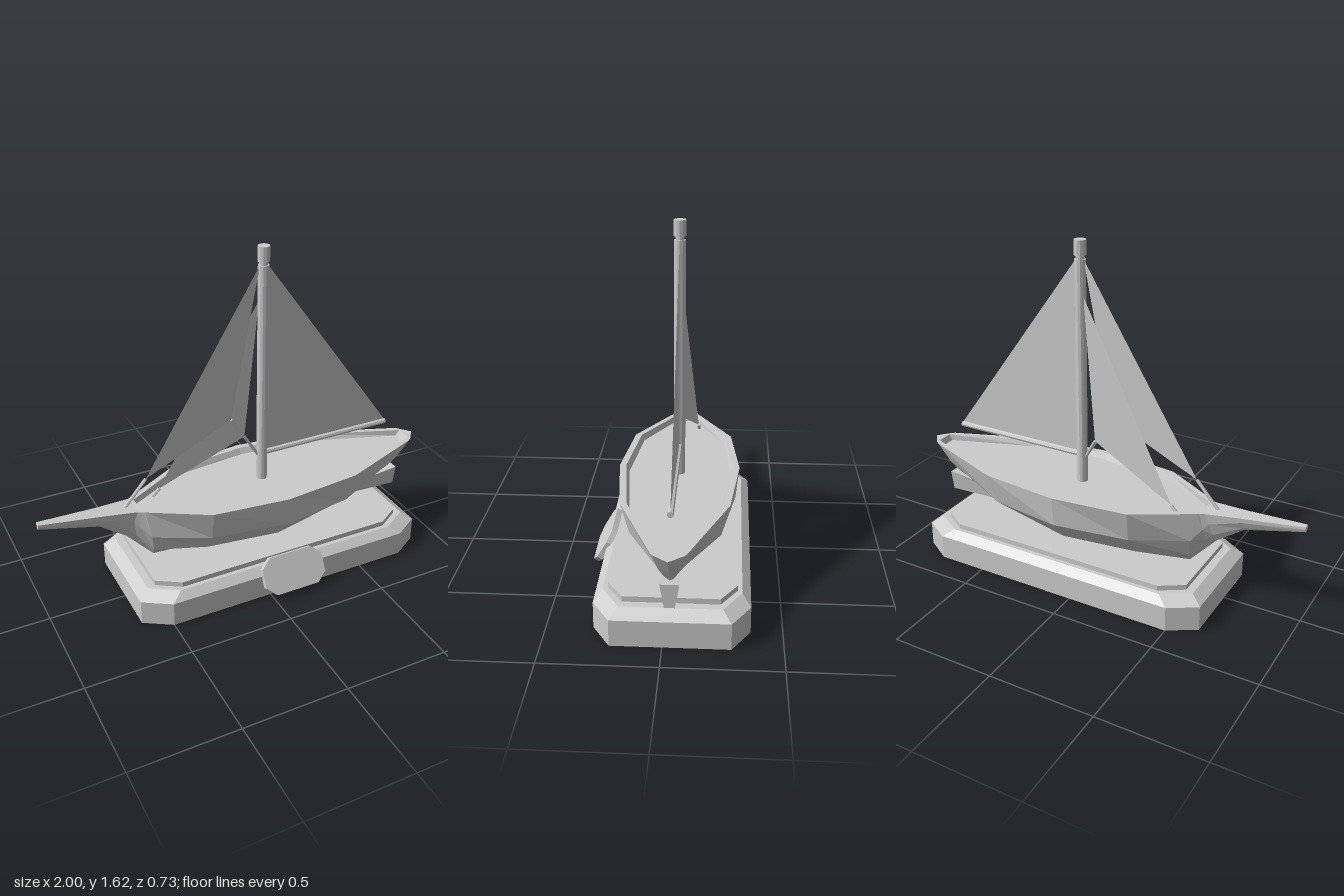
import * as THREE from 'three';

const MID = -0.033; // centre line of boat and stand in z
const MAST_X = 0.118;
const mat = new THREE.MeshStandardMaterial({ color: 0xcccccc, flatShading: true });
const sailMat = new THREE.MeshStandardMaterial({ color: 0xcccccc, flatShading: true, side: THREE.DoubleSide });

// Skin a row of closed rings (counter-clockwise seen from the direction of travel)
function loft(rings) {
  const pos = [];
  const n = rings[0].length;
  for (let i = 0; i + 1 < rings.length; i++) {
    for (let j = 0; j < n; j++) {
      const k = (j + 1) % n;
      const a = rings[i][j], b = rings[i][k], c = rings[i + 1][k], d = rings[i + 1][j];
      pos.push(...a, ...b, ...c, ...a, ...c, ...d);
    }
  }
  const g = new THREE.BufferGeometry();
  g.setAttribute('position', new THREE.Float32BufferAttribute(pos, 3));
  g.computeVertexNormals();
  return g;
}

// Stack of cut-corner rectangles: layers are [halfX, halfZ, y], closed at both ends
function octagonStack(layers, cutX, cutZ) {
  const ring = ([hx, hz, y]) => [
    [hx, -hz + cutZ], [hx - cutX, -hz], [-hx + cutX, -hz], [-hx, -hz + cutZ],
    [-hx, hz - cutZ], [-hx + cutX, hz], [hx - cutX, hz], [hx, hz - cutZ],
  ].map(([x, z]) => [x, y, z]);
  const cap = ([, , y]) => Array.from({ length: 8 }, () => [0, y, 0]);
  return loft([cap(layers[0]), ...layers.map(ring), cap(layers[layers.length - 1])]);
}

function add(parent, name, geometry, material = mat) {
  const mesh = new THREE.Mesh(geometry, material);
  mesh.name = name;
  parent.add(mesh);
  return mesh;
}

// Straight round bar between two points
function rod(parent, name, from, to, r, sides = 8) {
  const a = new THREE.Vector3(...from), b = new THREE.Vector3(...to);
  const dir = b.clone().sub(a);
  const mesh = add(parent, name, new THREE.CylinderGeometry(r, r, dir.length(), sides));
  mesh.position.copy(a).add(b).multiplyScalar(0.5);
  mesh.quaternion.setFromUnitVectors(new THREE.Vector3(0, 1, 0), dir.normalize());
}

function sail(parent, name, ...corners) {
  const g = new THREE.BufferGeometry();
  g.setAttribute('position', new THREE.Float32BufferAttribute(corners.flat(), 3));
  g.computeVertexNormals();
  add(parent, name, g, sailMat);
}

function hullGeometry() {
  const D = 0.445, T = 0.475; // deck and rail heights
  // topX, bottomX, topY, topW, [w, y] x 3 down to the keel, inner rail width, deck height
  const stations = [
    [-1, -1, 0.512, 0, 0, 0.5, 0, 0.488, 0, 0.484, 0, 0.512],
    [-1, -1, 0.512, 0.015, 0.015, 0.5, 0.011, 0.488, 0.005, 0.484, 0.01, 0.512],
    [-0.72, -0.72, 0.488, 0.04, 0.037, 0.465, 0.022, 0.43, 0.008, 0.415, 0.03, 0.488],
    [-0.55, -0.595, T, 0.062, 0.052, 0.42, 0.03, 0.36, 0.01, 0.325, 0.04, T],
    [-0.53, -0.56, T, 0.072, 0.06, 0.39, 0.034, 0.33, 0.012, 0.287, 0.045, T],
    [-0.52, -0.47, T, 0.08, 0.085, 0.33, 0.055, 0.235, 0.02, 0.19, 0.05, D],
    [-0.25, -0.23, T, 0.237, 0.2, 0.32, 0.12, 0.215, 0.035, 0.188, 0.207, D],
    [0.12, 0.12, T, 0.278, 0.262, 0.325, 0.18, 0.225, 0.06, 0.19, 0.248, D],
    [0.51, 0.47, T, 0.237, 0.2, 0.32, 0.12, 0.25, 0.035, 0.213, 0.207, D],
    [0.935, 0.81, T, 0.072, 0.05, 0.37, 0.03, 0.325, 0.015, 0.298, 0.046, D],
    [0.95, 0.84, T, 0.062, 0.045, 0.375, 0.025, 0.33, 0.012, 0.307, 0.04, T],
    [1, 0.87, T, 0, 0, 0.38, 0, 0.34, 0, 0.318, 0, T],
  ];
  return loft(stations.map(([xt, xb, top, w0, w1, y1, w2, y2, w3, y3, inner, deck]) => {
    const half = [[inner * 0.94, deck], [inner, top], [w0, top], [w1, y1], [w2, y2], [w3, y3]];
    const at = (s) => ([w, y]) => {
      const t = y >= T || top === y3 ? 0 : Math.min(1, Math.max(0, (top - y) / (top - y3)));
      return [xt + (xb - xt) * (y === deck ? 0 : t), y, MID + s * w];
    };
    return [...half.map(at(1)), ...half.slice().reverse().map(at(-1))];
  }));
}

export function createModel() {
  const model = new THREE.Group();
  model.name = 'sailboatOnStand';

  // Stand: bevelled base, raised slab and tilted plaque
  const stand = new THREE.Group();
  stand.name = 'stand';
  model.add(stand);
  const base = add(stand, 'base',
    octagonStack([[0.747, 0.332, 0], [0.747, 0.332, 0.12], [0.695, 0.295, 0.155]], 0.13, 0.08));
  const slab = add(stand, 'slab', octagonStack([[0.657, 0.275, 0.15], [0.657, 0.275, 0.18]], 0.11, 0.07));
  for (const m of [base, slab]) m.position.set(MAST_X, 0, MID);
  const plaque = add(stand, 'plaque', octagonStack([[0.16, 0.09, -0.014], [0.16, 0.09, 0.014]], 0.05, 0.045));
  plaque.position.set(0.116, 0.108, 0.307);
  plaque.rotation.x = Math.PI / 3;

  // Hull with beak, rail and sunken deck
  const boat = new THREE.Group();
  boat.name = 'boat';
  model.add(boat);
  add(boat, 'hull', hullGeometry());

  // Rudder fin, wider at the top
  const fin = (x, y0, y1) => [[x, y1, MID - 0.04], [x, y1, MID + 0.04], [x, y0, MID + 0.022], [x, y0, MID - 0.022]];
  const point = (x, y) => Array.from({ length: 4 }, () => [x, y, MID]);
  add(boat, 'rudder', loft([point(0.42, 0.225), fin(0.42, 0.222, 0.26), fin(0.89, 0.204, 0.31), point(0.89, 0.26)]));

  // Mast, narrow neck and cap, boom
  const rig = new THREE.Group();
  rig.name = 'rigging';
  model.add(rig);
  rod(rig, 'mast', [MAST_X, 0.43, MID], [MAST_X, 1.535, MID], 0.026, 12);
  rod(rig, 'mastNeck', [MAST_X, 1.53, MID], [MAST_X, 1.56, MID], 0.02, 12);
  rod(rig, 'mastCap', [MAST_X, 1.552, MID], [MAST_X, 1.622, MID], 0.028, 12);
  rod(rig, 'boom', [MAST_X, 0.584, MID], [0.822, 0.584, MID], 0.014);

  // Mainsail and two headsails with their lines
  sail(rig, 'mainsail', [0.13, 0.59, MID], [0.82, 0.595, MID], [0.13, 1.545, MID]);
  const headsails = [
    { name: 'outerJib', head: [0.1, 1.535, MID], tack: [-0.48, 0.6, MID], clew: [-0.045, 0.8, MID], foot: [-0.59, 0.475, MID] },
    { name: 'innerJib', head: [0.1, 1.37, -0.04], tack: [-0.39, 0.48, -0.105], clew: [0.035, 0.68, -0.055], foot: [-0.43, 0.44, -0.107] },
  ];
  for (const { name, head, tack, clew, foot } of headsails) {
    sail(rig, name, tack, clew, head);
    rod(rig, name + 'TackLine', foot, tack, 0.008, 6);
    rod(rig, name + 'Sheet', clew, [0.105, 0.565, MID], 0.007, 6);
  }
  return model;
}
